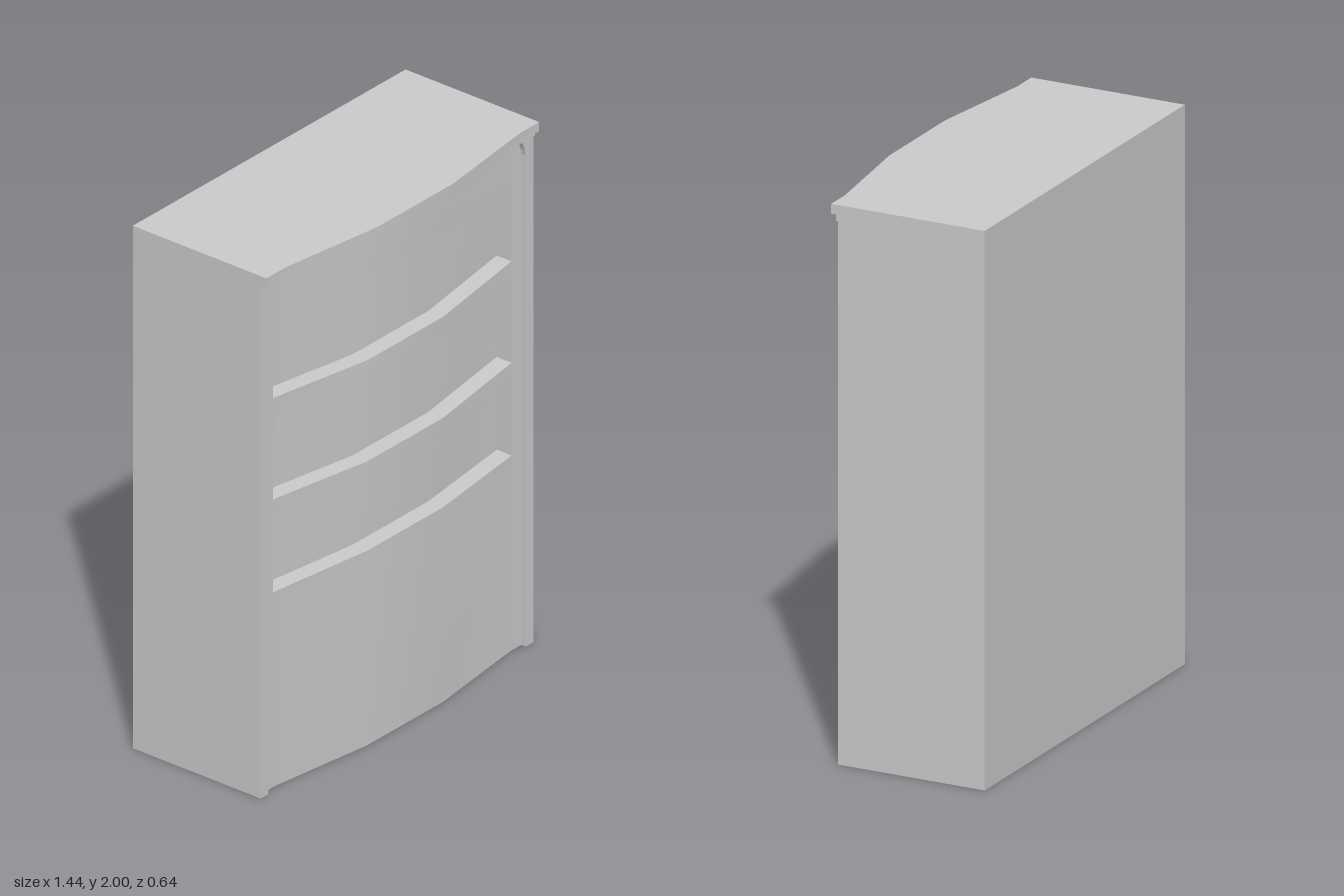
import * as THREE from 'three';
import { toCreasedNormals } from 'three/addons/utils/BufferGeometryUtils.js';

const BACK = -0.32, DEPTH = 0.065, OPEN = 0.63, INNER = 0.68, OUTER = 0.72;

// Bow of the front: 0 across the middle, 1 at the sides
const bow = x => THREE.MathUtils.clamp((Math.abs(x) - 0.2) / 0.42, 0, 1);
const front = (x, middle) => middle - 0.055 * bow(x);
const PANEL = x => front(x, 0.275);
const FLOOR = x => front(x, 0.275) - DEPTH;

// Loft of a four-cornered section along x; every bound is a function of x
function bowed(x0, x1, bottom, top, back, face) {
  const xs = [x0, ...[-0.62, -0.2, 0.2, 0.62].filter(x => x > x0 && x < x1), x1];
  const pos = [], idx = [];
  for (const x of xs) {
    pos.push(x, bottom(x), back(x), x, bottom(x), face(x), x, top(x), face(x), x, top(x), back(x));
  }
  for (let i = 0; i < xs.length - 1; i++) {
    for (let k = 0; k < 4; k++) {
      const a = i * 4 + k, b = i * 4 + (k + 1) % 4;
      idx.push(a, a + 4, b + 4, a, b + 4, b);
    }
  }
  const e = (xs.length - 1) * 4;
  idx.push(0, 1, 2, 0, 2, 3, e, e + 2, e + 1, e, e + 3, e + 2);
  const geo = new THREE.BufferGeometry();
  geo.setAttribute('position', new THREE.Float32BufferAttribute(pos, 3));
  geo.setIndex(idx);
  return toCreasedNormals(geo, 0.5);
}

export function createModel() {
  const group = new THREE.Group();
  const material = new THREE.MeshStandardMaterial({ color: 0xcccccc });
  const add = (name, geo) => {
    const mesh = new THREE.Mesh(geo, material);
    mesh.name = name;
    group.add(mesh);
    return mesh;
  };
  const flat = v => () => v;
  // Edge that sags towards the middle of the cabinet
  const sag = (middle, side) => x => middle + (side - middle) * bow(x);

  // Carcass, whose front is the back of the open recesses
  add('carcass', bowed(-INNER, INNER, flat(0), flat(1.945), flat(BACK), FLOOR));

  // Bowed front: lower panel, rails between recesses and top rail
  const bands = [
    ['lowerPanel', flat(0), flat(0.745)],
    ['lowerRail', sag(1.038, 1.05), sag(1.087, 1.1)],
    ['upperRail', sag(1.424, 1.438), sag(1.474, 1.488)],
    ['topRail', flat(1.81), flat(1.945)],
  ];
  for (const [name, bottom, top] of bands) {
    add(name, bowed(-OPEN, OPEN, bottom, top, FLOOR, PANEL));
  }

  // Stiles, side posts and the rounded brackets at the top of the posts
  const bracket = new THREE.Shape();
  bracket.moveTo(INNER, 1.88);
  bracket.lineTo(INNER, 1.945);
  bracket.lineTo(0.655, 1.945);
  bracket.quadraticCurveTo(0.675, 1.915, INNER, 1.88);
  for (const s of [-1, 1]) {
    const side = s < 0 ? 'right' : 'left';
    const span = (a, b) => (s < 0 ? [-b, -a] : [a, b]);
    add(side + 'Stile', bowed(...span(OPEN, INNER), flat(0), flat(1.945), FLOOR, PANEL));
    add(side + 'Post', bowed(...span(INNER, OUTER), flat(0), flat(1.945), flat(BACK), flat(0.24)));
    const geo = new THREE.ExtrudeGeometry(bracket, { depth: 0.08, bevelEnabled: false, curveSegments: 3 });
    if (s < 0) geo.rotateY(Math.PI).translate(0, 0, 0.08);
    add(side + 'Bracket', geo).position.z = 0.16;
  }

  // Two-step cornice
  add('corniceLower', bowed(-OUTER, OUTER, flat(1.942), flat(1.965), flat(BACK), x => front(x, 0.302)));
  add('corniceTop', bowed(-OUTER, OUTER, flat(1.965), flat(2), flat(BACK), x => front(x, 0.32)));
  return group;
}
